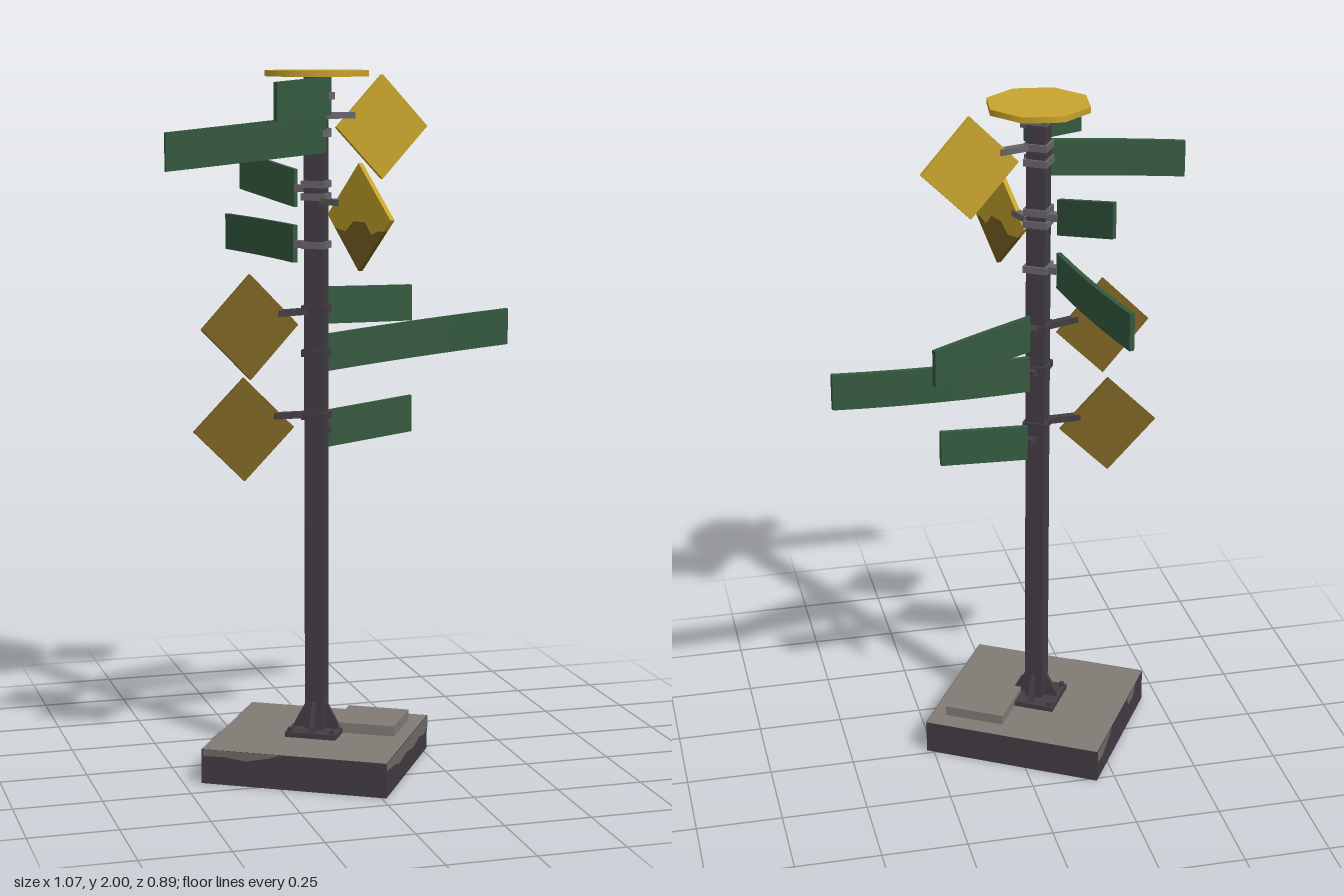
import * as THREE from 'three';

const mat = (name, color, side = THREE.FrontSide) => {
  const m = new THREE.MeshStandardMaterial({ color, side });
  m.name = name;
  return m;
};

export function createModel() {
  const yellow = mat('yellow enamel', 0xc8a42d);
  const brown = mat('rusty brown', 0x7a6223);
  const green = mat('green enamel', 0x35593f);
  const concrete = mat('worn concrete', 0x807b74);
  const concretePatch = mat('chipped concrete', 0x6f6b66, THREE.DoubleSide);
  const iron = mat('dark iron', 0x423c43);
  const steel = mat('grey steel', 0x68656a);

  const root = new THREE.Group();
  root.name = 'signpost';
  const CX = -0.09, CZ = 0.09;

  // Everything fixed to the turned foot shares its axes
  const foot = new THREE.Group();
  foot.name = 'post';
  foot.position.set(CX, 0, CZ);
  foot.rotation.y = -0.541;
  root.add(foot);

  const add = (parent, name, geo, material, x = 0, y = 0, z = 0) => {
    const m = new THREE.Mesh(geo, material);
    m.name = name;
    m.position.set(x, y, z);
    parent.add(m);
    return m;
  };
  const box = (w, h, d) => new THREE.BoxGeometry(w, h, d);

  // Concrete block with a worn top and dark sides
  const HX = 0.27, HZ = 0.25, TOP = 0.1;
  add(foot, 'base', box(HX * 2, TOP, HZ * 2),
    [iron, iron, concrete, iron, iron, iron], 0, TOP / 2, 0);
  add(foot, 'coverSlab', box(0.182, 0.03, 0.182), concrete, 0.137, 0.115, -0.1);

  // Chipped areas along the upper edge: [along, depth] outlines on one side
  const chip = (pts, x, z, turn) => {
    const s = new THREE.Shape();
    s.moveTo(pts[0][0], 0);
    pts.forEach(([a, d]) => s.lineTo(a, -d));
    s.lineTo(pts[pts.length - 1][0], 0);
    const m = add(foot, 'chippedEdge', new THREE.ShapeGeometry(s), concretePatch, x, TOP, z);
    m.rotation.y = turn;
  };
  chip([[-0.265, 0.02], [-0.2, 0.018], [-0.14, 0.026], [-0.07, 0.012], [-0.04, 0.001]],
    0, HZ + 0.002, 0);
  chip([[-0.25, 0.022], [-0.17, 0.028], [-0.1, 0.042], [-0.02, 0.034], [0.06, 0.045],
    [0.14, 0.036], [0.2, 0.045], [0.25, 0.035]], HX + 0.002, 0, Math.PI / 2);
  chip([[-0.25, 0.035], [-0.2, 0.042], [-0.15, 0.025], [-0.1, 0.003]],
    -HX - 0.002, 0, -Math.PI / 2);
  chip([[0.07, 0.004], [0.09, 0.03], [0.14, 0.026], [0.16, 0.004]],
    -HX - 0.002, 0, -Math.PI / 2);

  // Square pole on a bolted plate with four gussets
  add(foot, 'pole', box(0.056, 1.885, 0.056), iron, 0, 1.0425, 0);
  add(foot, 'footPlate', box(0.15, 0.015, 0.15), iron, 0, 0.1075, 0);
  const fin = new THREE.Shape();
  fin.moveTo(0, 0);
  fin.lineTo(0.042, 0);
  fin.lineTo(0.036, 0.018);
  fin.lineTo(0, 0.085);
  const finGeo = new THREE.ExtrudeGeometry(fin, { depth: 0.012, bevelEnabled: false });
  finGeo.translate(0.027, 0, -0.006);
  for (let i = 0; i < 4; i++) {
    add(foot, 'gusset', finGeo, iron, 0, 0.113, 0).rotation.y = i * Math.PI / 2;
    const a = i * Math.PI / 2 + Math.PI / 4;
    add(foot, 'bolt', new THREE.CylinderGeometry(0.008, 0.008, 0.012, 6), iron,
      Math.cos(a) * 0.088, 0.12, Math.sin(a) * 0.088);
  }

  // Clamps round the pole
  for (const y of [1.95, 1.875, 1.83, 1.685, 1.65, 1.515, 1.335, 1.21, 1.03]) {
    add(foot, 'clamp', box(0.07, 0.02, 0.07), y > 1.4 ? steel : iron, 0, y, 0);
  }

  // Octagonal cap plate
  const cap = add(root, 'topPlate', new THREE.CylinderGeometry(0.15, 0.15, 0.017, 8),
    yellow, -0.087, 1.9915, 0.083);
  cap.rotation.y = 0.26;

  // Arrow boards: start [x, y, z], end [x, y, z], sideways bow
  const H = 0.106, THICK = 0.014;
  const boards = [
    [[-0.14, 1.515, 0.05], [-0.219, 1.515, -0.445], 0.008],
    [[-0.14, 1.672, 0.055], [-0.253, 1.715, -0.125], 0],
    [[-0.05, 1.337, 0.03], [0.255, 1.32, -0.118], 0.003],
    [[-0.055, 1.203, 0.052], [0.533, 1.248, -0.053], -0.014],
    [[-0.05, 0.985, 0.055], [0.215, 1.012, 0.013], 0],
    [[-0.075, 1.827, 0.134], [-0.535, 1.782, 0.162], -0.008],
    [[-0.06, 1.93, 0.125], [-0.243, 1.917, 0.229], 0],
  ];
  for (const [a, b, bow] of boards) {
    const geo = new THREE.BoxGeometry(1, H, THICK, 6, 1, 1);
    const p = geo.attributes.position;
    const dx = b[0] - a[0], dz = b[2] - a[2], len = Math.hypot(dx, dz);
    for (let i = 0; i < p.count; i++) {
      const t = p.getX(i) + 0.5;
      const off = p.getZ(i) + bow * 4 * t * (1 - t);
      p.setXYZ(i,
        a[0] + dx * t - (dz / len) * off,
        a[1] + (b[1] - a[1]) * t + p.getY(i),
        a[2] + dz * t + (dx / len) * off);
    }
    geo.computeVertexNormals();
    add(root, 'directionBoard', geo, green);
    // Short bracket joining the board to the pole
    const bracket = add(root, 'boardBracket', box(0.06, 0.02, 0.03),
      a[1] > 1.4 ? steel : iron, (a[0] + CX) / 2, a[1], (a[2] + CZ) / 2);
    bracket.rotation.y = Math.atan2(CZ - a[2], a[0] - CX);
  }

  // Diamond plates on arms
  const R = 0.147;
  const plate = (pts) => {
    const geo = new THREE.ExtrudeGeometry(
      new THREE.Shape(pts.map(([x, y]) => new THREE.Vector2(x, y))),
      { depth: 0.014, bevelEnabled: false });
    return geo.translate(0, 0, -0.007);
  };
  const whole = [[-R, 0], [0, -R], [R, 0], [0, R]];
  const wave = [[-0.112, -0.035], [-0.06, -0.042], [-0.025, -0.012], [0.03, -0.012],
    [0.06, -0.045], [0.09, -0.032], [0.115, -0.032]];
  const diamonds = [
    [[-0.03, 0.07], [0.265, 0.003], 1.84, [[whole, yellow]]],
    [[-0.07, 0.16], [0.026, 0.437], 1.605, [
      [[...wave, [R, 0], [0, R], [-R, 0]], yellow],
      [[[0, -R], ...wave.slice().reverse()].reverse(), brown]]],
    [[-0.16, 0.12], [-0.435, 0.175], 1.295, [[whole, brown]]],
    [[-0.16, 0.092], [-0.45, 0.11], 1.0, [[whole, brown]]],
  ];
  for (const [a, b, y, parts] of diamonds) {
    const g = new THREE.Group();
    g.name = 'diamondSign';
    g.position.set((a[0] + b[0]) / 2, y, (a[1] + b[1]) / 2);
    g.rotation.y = Math.atan2(a[1] - b[1], b[0] - a[0]);
    root.add(g);
    for (const [pts, material] of parts) add(g, 'diamondPlate', plate(pts), material);
    // Arm from the pole to the back of the plate
    const ax = a[0] + (b[0] - a[0]) * 0.2, az = a[1] + (b[1] - a[1]) * 0.2;
    const arm = add(root, 'diamondArm', box(Math.hypot(ax - CX, az - CZ), 0.018, 0.022),
      y > 1.4 ? steel : iron, (ax + CX) / 2, y + 0.034, (az + CZ) / 2);
    arm.rotation.y = Math.atan2(CZ - az, ax - CX);
  }
  return root;
}
